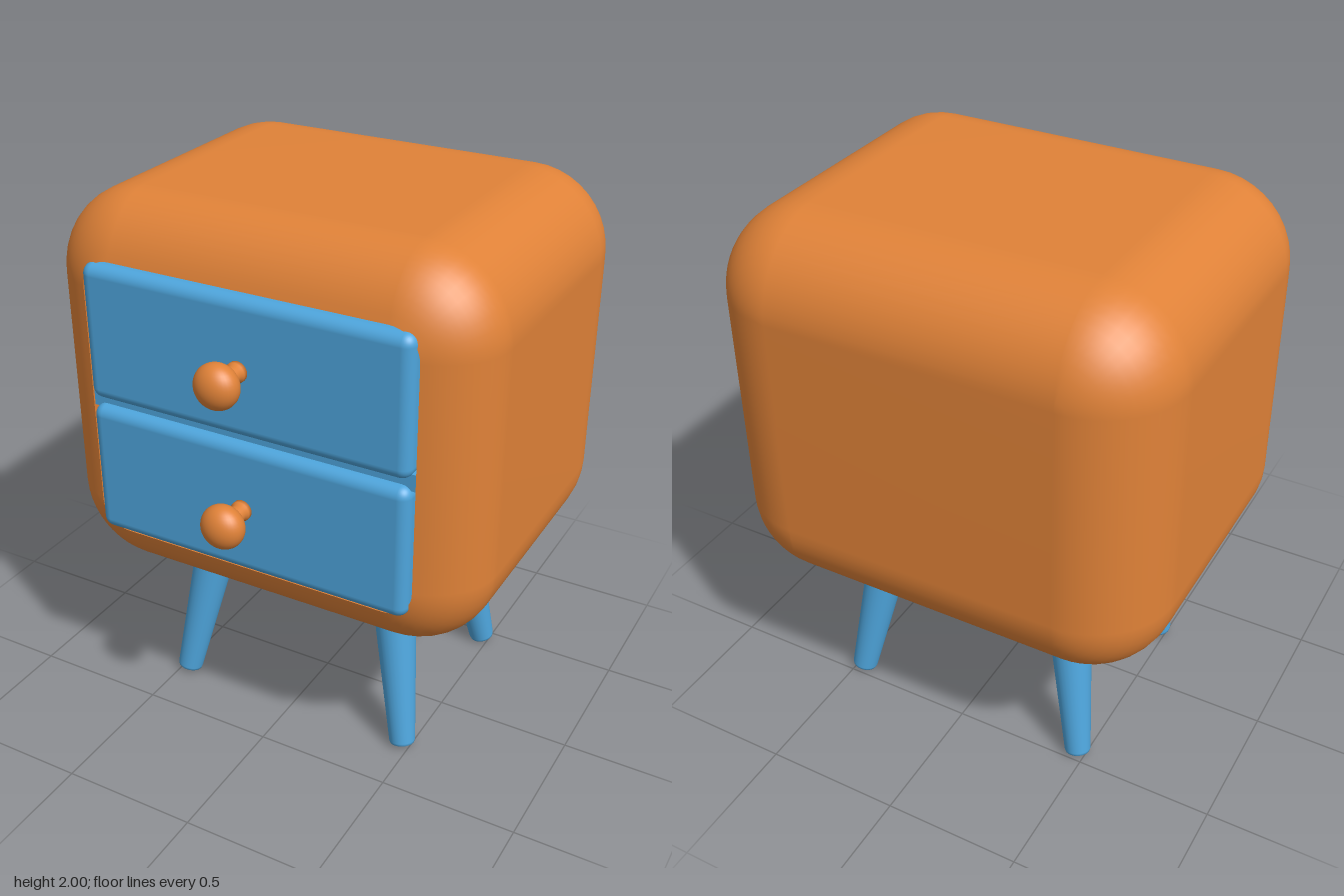
import * as THREE from 'three';
import { mergeVertices } from 'three/addons/utils/BufferGeometryUtils.js';
import { RoundedBoxGeometry } from 'three/addons/geometries/RoundedBoxGeometry.js';

const W = 0.805, H = 0.705, R = 0.3;    // cabinet half width, half height, edge radius
const MID_Y = 1.295, FRONT = 0.567, BACK = -0.765;
const FRONT_R = 0.25;                   // front edges are a little tighter in depth
const RIM = 0.105;                      // corner radius of the drawer opening

// Rounded rectangle at depth z; its corner radius sets how far it swells
function loop(radius, z, steps = 10) {
  const points = [];
  const corners = [[1, 1], [-1, 1], [-1, -1], [1, -1]];
  corners.forEach(([sx, sy], q) => {
    for (let i = 0; i <= steps; i++) {
      const a = (q + i / steps) * Math.PI / 2;
      points.push([
        sx * (W - R) + radius * Math.cos(a),
        MID_Y + sy * (H - R) + radius * Math.sin(a),
        z,
      ]);
    }
  });
  return points;
}

// Skin a row of loops, optionally closing the first or last one
function loft(loops, capFirst, capLast) {
  const n = loops[0].length;
  const vertices = loops.flat();
  const index = [];
  for (let i = 0; i < loops.length - 1; i++) {
    for (let j = 0; j < n; j++) {
      const k = (j + 1) % n;
      const a = i * n + j, b = i * n + k, c = b + n, d = a + n;
      index.push(a, b, c, a, c, d);
    }
  }
  const cap = (start, flip) => {
    const centre = vertices.push([0, MID_Y, vertices[start][2]]) - 1;
    for (let j = 0; j < n; j++) {
      const a = start + j, b = start + (j + 1) % n;
      index.push(centre, flip ? b : a, flip ? a : b);
    }
  };
  if (capFirst) cap(0, true);
  if (capLast) cap((loops.length - 1) * n, false);
  const geometry = new THREE.BufferGeometry();
  geometry.setAttribute('position', new THREE.Float32BufferAttribute(vertices.flat(), 3));
  geometry.setIndex(index);
  const welded = mergeVertices(geometry, 1e-4);
  welded.computeVertexNormals();
  return welded;
}

function lathe(profile, segments) {
  return new THREE.LatheGeometry(profile.map(([x, y]) => new THREE.Vector2(x, y)), segments);
}

export function createModel() {
  const orange = new THREE.MeshStandardMaterial({ name: 'orange wood', color: 0xe08238 });
  const blue = new THREE.MeshStandardMaterial({ name: 'blue paint', color: 0x4ea5dc });
  const model = new THREE.Group();
  model.name = 'bedsideCabinet';

  const add = (parent, name, geometry, material, x = 0, y = 0, z = 0) => {
    const mesh = new THREE.Mesh(geometry, material);
    mesh.name = name;
    mesh.position.set(x, y, z);
    parent.add(mesh);
    return mesh;
  };

  // Cabinet shell: rounded back, straight sides, rounded front up to the opening
  const shell = [];
  const steps = 12;
  for (let i = 0; i <= steps; i++) {
    const a = (i / steps) * Math.PI / 2;
    shell.push(loop(R * Math.sin(a), BACK + R * (1 - Math.cos(a))));
  }
  const rimAngle = Math.acos(RIM / R);
  for (let i = 0; i <= steps; i++) {
    const a = (i / steps) * rimAngle;
    shell.push(loop(R * Math.cos(a), FRONT - FRONT_R * (1 - Math.sin(a))));
  }
  add(model, 'cabinetShell', loft(shell, true, false), orange);

  // Recess behind the drawers
  const rimZ = FRONT - FRONT_R * (1 - Math.sin(rimAngle));
  add(model, 'recessWalls', loft([loop(RIM, rimZ), loop(RIM, 0.44)], false, false), orange);
  add(model, 'recessBack', loft([loop(RIM, 0.44)], false, true), orange);
  add(model, 'drawerDivider', new THREE.BoxGeometry(1.22, 0.06, 0.1), blue, 0, 1.295, 0.495);

  // Drawers with knobs
  const drawerGeometry = new RoundedBoxGeometry(1.2, 0.487, 0.15, 5, 0.04);
  const stemGeometry = lathe(
    [[0, 0], [0.036, 0], [0.036, 0.02], [0.03, 0.032], [0.03, 0.09]], 24);
  const ballGeometry = new THREE.SphereGeometry(0.078, 32, 20).scale(1, 1, 0.79);
  stemGeometry.rotateX(Math.PI / 2);
  [['upper', 1.552], ['lower', 1.038]].forEach(([level, y]) => {
    const drawer = new THREE.Group();
    drawer.name = level + 'Drawer';
    model.add(drawer);
    add(drawer, 'drawerFront', drawerGeometry, blue, 0, y, 0.509);
    const knobY = level === 'upper' ? 1.55 : 1.043;
    add(drawer, 'knobStem', stemGeometry, orange, 0, knobY, 0.58);
    add(drawer, 'knob', ballGeometry, orange, 0, knobY, 0.703);
  });

  // Splayed, tapered legs with softened feet
  const up = new THREE.Vector3(0, 1, 0);
  for (const sx of [1, -1]) {
    for (const sz of [1, -1]) {
      const foot = new THREE.Vector3(sx * 0.47, 0.011, -0.088 + sz * 0.37);
      const top = new THREE.Vector3(sx * 0.353, 0.7, -0.088 + sz * 0.252);
      const axis = top.clone().sub(foot);
      const geometry = lathe(
        [[0, 0], [0.038, 0], [0.045, 0.004], [0.048, 0.014], [0.087, axis.length()]], 28);
      const name = (sz > 0 ? 'front' : 'back') + (sx > 0 ? 'Left' : 'Right') + 'Leg';
      const leg = add(model, name, geometry, blue, foot.x, foot.y, foot.z);
      leg.quaternion.setFromUnitVectors(up, axis.normalize());
    }
  }
  return model;
}
